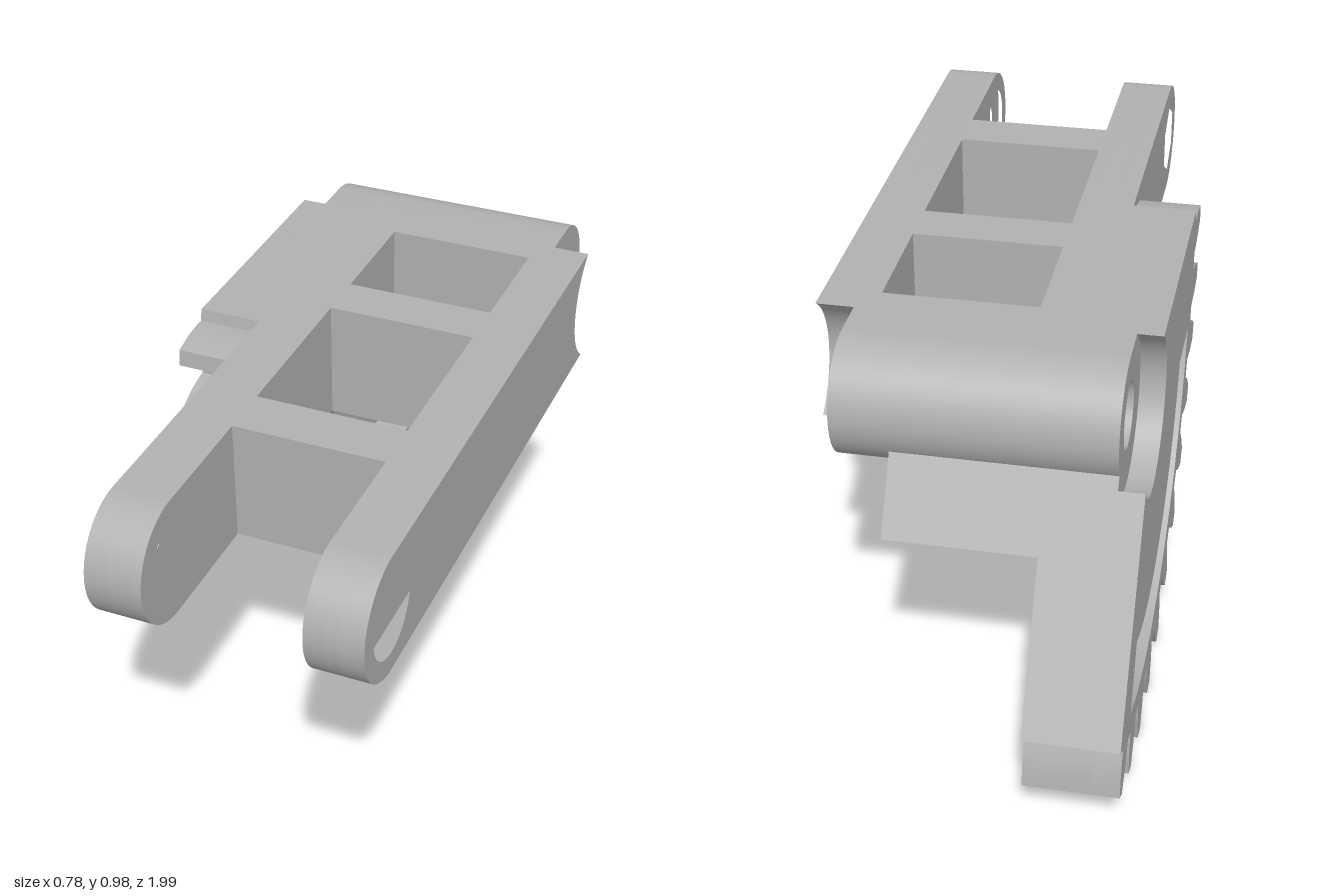
import * as THREE from 'three';
import { toCreasedNormals } from 'three/addons/utils/BufferGeometryUtils.js';

// Profiles are drawn in (u, y) with u = -z, then extruded along x.
const PIVOT = { u: 0.57, y: 0.833 };
const TIP = { u: -0.853, y: 0.833 };
const HALF = 0.147, TOP = 0.98, BOTTOM = 0.686;
const RAD = Math.PI / 180;
const SLOPE_OFFSET = 0.073;

// Point at an angle measured from straight down towards the front.
const polar = (deg, r, c = PIVOT) =>
  new THREE.Vector2(c.u - r * Math.sin(deg * RAD), c.y - r * Math.cos(deg * RAD));

function arc(from, to, r, c = PIVOT, n = 32) {
  return Array.from({ length: n + 1 }, (_, i) => polar(from + ((to - from) * i) / n, r, c));
}

// Point on the sloping back edge of the sector, t along the slope.
const slopePoint = (t) => new THREE.Vector2(
  PIVOT.u + t * Math.sin(30 * RAD) + SLOPE_OFFSET * Math.cos(30 * RAD),
  PIVOT.y - t * Math.cos(30 * RAD) + SLOPE_OFFSET * Math.sin(30 * RAD));

export function createModel() {
  const group = new THREE.Group();
  const grey = new THREE.MeshStandardMaterial({ color: 0xb1b1b1 });
  grey.name = 'plain grey';

  function slab(name, points, x0, x1, holes = []) {
    const shape = new THREE.Shape(points);
    holes.forEach((h) => shape.holes.push(new THREE.Path(h)));
    const geo = new THREE.ExtrudeGeometry(shape, { depth: x1 - x0, bevelEnabled: false, steps: 1 });
    geo.rotateY(Math.PI / 2);
    geo.translate(x0, 0, 0);
    const mesh = new THREE.Mesh(toCreasedNormals(geo, 0.35), grey);
    mesh.name = name;
    group.add(mesh);
  }

  const circle = (r, c, n = 40) => arc(0, 360, r, c, n).slice(0, -1);

  // Arms: layers along x give the stepped bolt holes
  function armProfile(relieved) {
    const front = arc(0, 180, HALF, TIP);
    const cut = Math.asin(HALF / 0.175) / RAD;
    const back = relieved
      ? arc(90 + cut, 90 - cut, 0.175)
      : [new THREE.Vector2(0.42, TOP), new THREE.Vector2(0.42, BOTTOM)];
    return [...front, ...back];
  }
  const wide = circle(0.1, TIP), bolt = circle(0.052, TIP), hex = circle(0.092, TIP, 6);
  [
    ['leftArm', 0.255, 0.275, wide, false],
    ['leftArm', 0.275, 0.3, bolt, false],
    ['leftArm', 0.3, 0.33, bolt, true],
    ['leftArm', 0.33, 0.388, wide, true],
    ['rightArm', -0.125, -0.105, wide, false],
    ['rightArm', -0.185, -0.125, bolt, false],
    ['rightArm', -0.237, -0.185, hex, false],
  ].forEach(([name, x0, x1, hole, relieved]) => slab(name, armProfile(relieved), x0, x1, [hole]));

  // Cross bars between the arms
  [[0.43, 0.557], [-0.11, 0.012]].forEach(([z0, z1]) => {
    const bar = new THREE.Mesh(new THREE.BoxGeometry(0.38, TOP - BOTTOM, z1 - z0), grey);
    bar.position.set(0.075, (TOP + BOTTOM) / 2, (z0 + z1) / 2);
    bar.name = 'crossBar';
    group.add(bar);
  });

  // Pivot barrel with its bore
  slab('pivotBarrel',
    [new THREE.Vector2(0.4, TOP), new THREE.Vector2(0.4, BOTTOM), ...arc(0, -180, HALF)],
    -0.33, 0.3, [circle(0.0765)]);

  // Toothed sector
  const ROOT = 0.72, RIM = 0.663, CHEEK = 0.5, PITCH = 11.25;
  function sectorProfile(clear) {
    const topOffset = clear > HALF ? Math.sqrt(clear * clear - HALF * HALF) : 0;
    const pts = [
      new THREE.Vector2(PIVOT.u - topOffset, TOP),
      new THREE.Vector2(PIVOT.u - Math.sqrt(ROOT * ROOT - HALF * HALF), TOP),
    ];
    for (let k = 8; k >= -3; k--) {
      const a = (k + 0.5) * PITCH;
      [[3.8, ROOT], [3.5, 0.745], [2.8, 0.785], [1.4, 0.832],
        [-1.4, 0.832], [-2.8, 0.785], [-3.5, 0.745], [-3.8, ROOT]]
        .forEach(([d, r]) => pts.push(polar(a + d, r)));
    }
    pts.push(slopePoint(Math.sqrt(ROOT * ROOT - SLOPE_OFFSET * SLOPE_OFFSET)));
    const start = -30 - Math.asin(SLOPE_OFFSET / clear) / RAD;
    const end = 180 - Math.asin(topOffset / clear) / RAD;
    const inner = arc(start, end, clear);
    if (topOffset) inner.pop();
    return [...pts, ...inner];
  }
  // Curved slot between cheek and rim, stopping under the body
  const topAngle = (r) => 90 - Math.asin((PIVOT.y - BOTTOM) / r) / RAD;
  const slot = [...arc(-23.4, topAngle(RIM), RIM, PIVOT, 48), ...arc(topAngle(CHEEK), -23.4, CHEEK, PIVOT, 48)];
  slab('toothedSectorOuter', sectorProfile(0.175), -0.389, -0.33, [slot]);
  slab('toothedSectorInner', sectorProfile(0.12), -0.33, -0.172, [slot]);

  // Bracket under the barrel, hollowed below by an arc
  const R = 0.309, hollow = { u: PIVOT.u, y: BOTTOM - R };
  const corner = slopePoint(0.319);
  const sweep = Math.asin((corner.x - hollow.u) / R) / RAD;
  slab('supportBracket',
    [slopePoint(0.1), corner, ...arc(180 + sweep, 180, R, hollow, 16).slice(1), new THREE.Vector2(PIVOT.u, 0.72)],
    -0.18, 0.173);

  return group;
}
